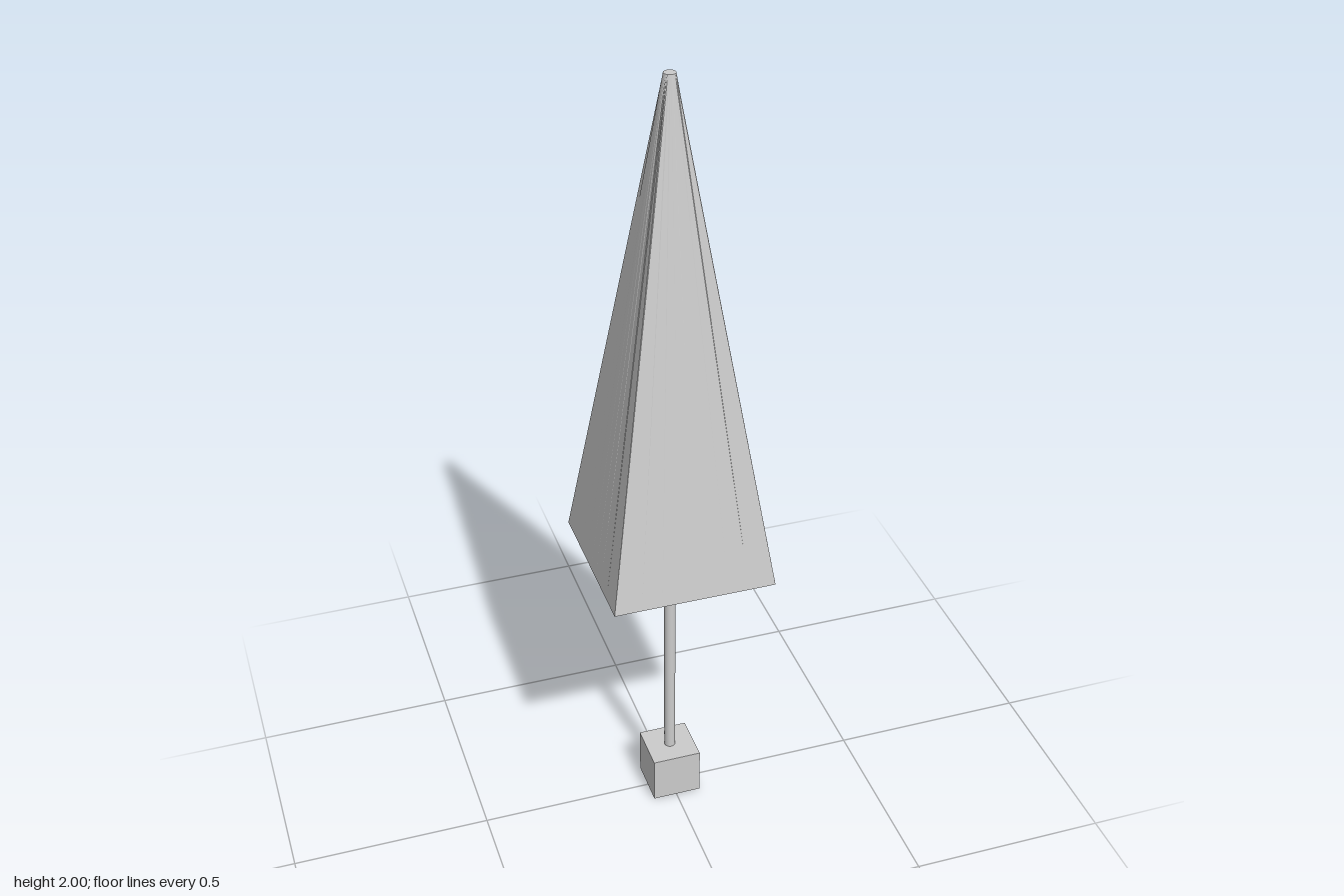
import * as THREE from 'three';

const POLE_R = 0.0143;
const HALF = 0.2015; // half width of the canopy's square hem
const HEM_Y = 0.75;
const TOP_Y = 2;

// Ruled surface from a square hem up to the round pole, open below
function canopyGeometry(segments = 32) {
  const positions = [];
  const indices = [];
  for (let i = 0; i <= segments; i++) {
    const a = (i / segments) * Math.PI * 2;
    const s = Math.sin(a), c = Math.cos(a);
    const k = HALF / Math.max(Math.abs(s), Math.abs(c));
    positions.push(s * k, HEM_Y, c * k, s * POLE_R, TOP_Y, c * POLE_R);
    if (i < segments) {
      const b = i * 2;
      indices.push(b, b + 2, b + 3, b, b + 3, b + 1);
    }
  }
  const geometry = new THREE.BufferGeometry();
  geometry.setAttribute('position', new THREE.Float32BufferAttribute(positions, 3));
  geometry.setIndex(indices);
  const flat = geometry.toNonIndexed();
  flat.computeVertexNormals();
  return flat;
}

export function createModel() {
  const model = new THREE.Group();
  model.name = 'foldedParasol';
  const grey = new THREE.MeshStandardMaterial({ color: 0xcccccc });
  const cloth = new THREE.MeshStandardMaterial({
    color: 0xcccccc, flatShading: true, side: THREE.DoubleSide,
  });

  const add = (name, geometry, material, y = 0) => {
    const mesh = new THREE.Mesh(geometry, material);
    mesh.name = name;
    mesh.position.y = y;
    model.add(mesh);
  };

  // Pole runs the full height, through base and canopy
  add('pole', new THREE.CylinderGeometry(POLE_R, POLE_R, TOP_Y, 32), grey, TOP_Y / 2);
  // Cube foot, a hair above the pole's end
  add('base', new THREE.BoxGeometry(0.125, 0.125, 0.125), grey, 0.0675);
  // Folded canopy
  add('canopy', canopyGeometry(), cloth);

  return model;
}
